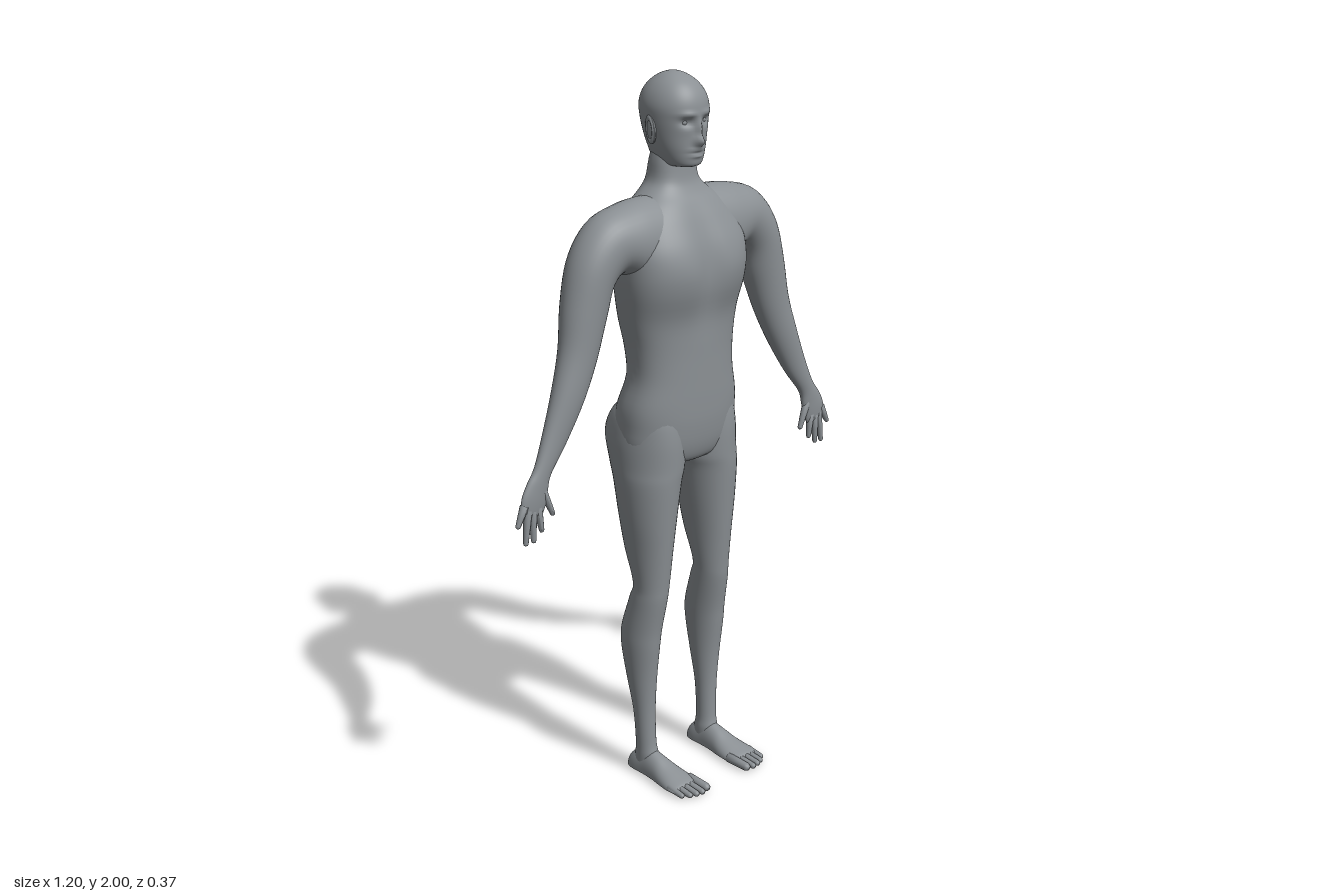
import * as THREE from 'three';

const skin = new THREE.MeshStandardMaterial({ color: 0x8b9094 });
skin.name = 'grey skin';

// Smooth interpolation of one column of a section table
function blend(rows, t) {
  const i = Math.min(Math.floor(t), rows.length - 2), f = t - i;
  const row = (k) => rows[Math.max(0, Math.min(rows.length - 1, k))];
  const [a, b, c, d] = [row(i - 1), row(i), row(i + 1), row(i + 2)];
  return b.map((v, k) => v + 0.5 * f * (c[k] - a[k] + f * (2 * a[k] - 5 * v + 4 * c[k] - d[k]
    + f * (3 * (v - c[k]) + d[k] - a[k]))));
}

// Closed skin through cross-sections; place(section, cos, sin) gives a point
function loft(rows, steps, sides, place, power = 2) {
  const pos = [], idx = [], rings = (rows.length - 1) * steps + 1;
  const round = (v) => Math.sign(v) * Math.pow(Math.abs(v), 2 / power);
  for (let r = 0; r < rings; r++) {
    const s = blend(rows, r / steps);
    for (let j = 0; j < sides; j++) {
      const a = (j / sides) * Math.PI * 2;
      pos.push(...place(s, round(Math.cos(a)), round(Math.sin(a))));
    }
  }
  for (let r = 0; r < rings - 1; r++) for (let j = 0; j < sides; j++) {
    const a = r * sides + j, b = r * sides + (j + 1) % sides;
    idx.push(a, b, b + sides, a, b + sides, a + sides);
  }
  // end caps
  for (const [start, flip] of [[0, true], [(rings - 1) * sides, false]]) {
    const c = [0, 0, 0], n = pos.length / 3;
    for (let j = 0; j < sides; j++) for (let k = 0; k < 3; k++) c[k] += pos[(start + j) * 3 + k] / sides;
    pos.push(...c);
    for (let j = 0; j < sides; j++) {
      const a = start + j, b = start + (j + 1) % sides;
      idx.push(...(flip ? [n, b, a] : [n, a, b]));
    }
  }
  // turn all faces outward
  const p = (i) => new THREE.Vector3().fromArray(pos, i * 3);
  let volume = 0;
  for (let i = 0; i < idx.length; i += 3) volume += p(idx[i]).dot(p(idx[i + 1]).cross(p(idx[i + 2])));
  if (volume < 0) idx.reverse();
  const g = new THREE.BufferGeometry();
  g.setAttribute('position', new THREE.Float32BufferAttribute(pos, 3));
  g.setIndex(idx);
  g.computeVertexNormals();
  return g;
}

function mirrored(geometry) {
  const g = geometry.clone().scale(-1, 1, 1);
  g.index.array.reverse();
  g.computeVertexNormals();
  return g;
}

// Tapered rounded digit between two points
function digit(from, to, r0, r1) {
  const a = new THREE.Vector3(...from), b = new THREE.Vector3(...to), len = a.distanceTo(b);
  const pts = [[0, 0], [r0, 0], [(r0 + r1) / 2, len * 0.5], [r1, len - r1],
    [r1 * 0.75, len - r1 * 0.35], [0, len]].map((q) => new THREE.Vector2(...q));
  const g = new THREE.LatheGeometry(pts, 12);
  g.applyQuaternion(new THREE.Quaternion().setFromUnitVectors(new THREE.Vector3(0, 1, 0), b.clone().sub(a).normalize()));
  return g.translate(a.x, a.y, a.z);
}

const bump = (x, y, cx, cy, wx, wy) => Math.exp(-(((x - cx) / wx) ** 2) - ((y - cy) / wy) ** 2);

export function createModel() {
  const model = new THREE.Group();
  const add = (name, g) => {
    const m = new THREE.Mesh(g, skin);
    m.name = name;
    model.add(m);
  };
  const addPair = (name, g) => {
    add('left' + name, g);
    add('right' + name, mirrored(g));
  };

  // Torso and neck: y, half width, front z, back z, chest groove, spine groove
  add('torso', loft([
    [0.945, 0.06, 0.03, -0.09, 0, 0], [0.96, 0.14, 0.055, -0.13, 0, 0.01],
    [1.0, 0.184, 0.07, -0.15, 0, 0.015], [1.06, 0.189, 0.078, -0.155, 0, 0.012],
    [1.12, 0.186, 0.08, -0.142, 0, 0.008], [1.2, 0.167, 0.08, -0.118, 0, 0.006],
    [1.28, 0.17, 0.08, -0.124, 0, 0.008], [1.36, 0.185, 0.085, -0.137, 0.004, 0.01],
    [1.44, 0.198, 0.108, -0.146, 0.014, 0.012], [1.5, 0.202, 0.114, -0.15, 0.02, 0.013],
    [1.56, 0.2, 0.1, -0.149, 0.016, 0.012], [1.62, 0.175, 0.07, -0.138, 0.008, 0.008],
    [1.66, 0.14, 0.045, -0.125, 0.004, 0.004], [1.69, 0.102, 0.022, -0.114, 0, 0],
    [1.72, 0.075, 0.009, -0.106, 0, 0], [1.77, 0.067, 0.003, -0.096, 0, 0], [1.8, 0.06, 0, -0.09, 0, 0],
  ], 4, 64, ([y, w, f, b, chest, spine], c, s) => {
    const x = w * c, groove = Math.exp(-((x / 0.045) ** 2));
    return [x, y, (f + b) / 2 + s * (f - b) / 2 - groove * (s > 0 ? chest * s : spine * s)];
  }, 2.35));

  // Head with sculpted face: y, half width, front z, back z
  add('head', loft([
    [1.757, 0.025, 0.03, -0.05], [1.762, 0.046, 0.042, -0.08], [1.775, 0.058, 0.047, -0.1],
    [1.805, 0.07, 0.049, -0.11], [1.84, 0.079, 0.05, -0.121], [1.88, 0.085, 0.054, -0.131],
    [1.915, 0.086, 0.055, -0.135], [1.945, 0.077, 0.046, -0.128], [1.97, 0.06, 0.027, -0.11],
    [1.988, 0.038, 0.0, -0.085], [1.997, 0.018, -0.022, -0.062], [2.0, 0.001, -0.039, -0.041],
  ], 6, 96, ([y, w, f, b], c, s) => {
    const x = w * c;
    let z = (f + b) / 2 + s * (f - b) / 2;
    if (s > 0) {
      z -= 0.012 * bump(Math.abs(x), y, 0.033, 1.877, 0.018, 0.011);
      z += 0.006 * bump(Math.abs(x), y, 0.033, 1.898, 0.025, 0.007);
      z += 0.012 * bump(x, y, 0, 1.858, 0.009, 0.025) + 0.022 * bump(x, y, 0, 1.826, 0.013, 0.015);
      z += 0.007 * bump(x, y, 0, 1.803, 0.022, 0.005) + 0.007 * bump(x, y, 0, 1.789, 0.02, 0.005);
      z -= 0.006 * bump(x, y, 0, 1.796, 0.025, 0.003);
    }
    return [x, y, z];
  }, 2.1));
  addPair('Eye', new THREE.SphereGeometry(0.011, 16, 12).translate(0.033, 1.877, 0.028));
  addPair('Ear', new THREE.SphereGeometry(1, 16, 12).scale(0.009, 0.036, 0.018)
    .rotateX(-0.15).rotateY(0.2).translate(0.084, 1.855, -0.037));
  addPair('EarRim', new THREE.TorusGeometry(0.015, 0.004, 8, 24).scale(1, 2, 1)
    .rotateY(Math.PI / 2 + 0.2).rotateX(-0.15).translate(0.089, 1.857, -0.037));

  // Arm and palm: centre x, y, z, downward angle, half thickness, half depth
  addPair('Arm', loft([
    [0.07, 1.56, -0.036, 0, 0.125, 0.095], [0.12, 1.565, -0.037, 0.03, 0.122, 0.094],
    [0.18, 1.573, -0.037, 0.12, 0.107, 0.09], [0.25, 1.573, -0.036, 0.48, 0.084, 0.077],
    [0.304, 1.517, -0.035, 0.95, 0.071, 0.069], [0.335, 1.42, -0.031, 1.2, 0.067, 0.059],
    [0.365, 1.31, -0.024, 1.15, 0.058, 0.047], [0.406, 1.21, -0.018, 1.1, 0.05, 0.038],
    [0.457, 1.11, -0.014, 1.05, 0.039, 0.026], [0.502, 1.035, -0.01, 1.03, 0.028, 0.018],
    [0.522, 0.995, -0.009, 1.1, 0.036, 0.016], [0.536, 0.96, -0.008, 1.2, 0.042, 0.014],
    [0.545, 0.93, -0.007, 1.25, 0.037, 0.01], [0.547, 0.924, -0.007, 1.25, 0.03, 0.006],
  ], 5, 36, ([x, y, z, t, a, b], c, s) => [x + a * c * Math.sin(t), y + a * c * Math.cos(t), z + b * s]));

  // Fingers and thumb: base x, y then tip x, y
  [[0.569, 0.955, 0.597, 0.9], [0.558, 0.94, 0.571, 0.845], [0.543, 0.935, 0.544, 0.846],
    [0.525, 0.94, 0.515, 0.868], [0.509, 0.985, 0.475, 0.905]].forEach(([x0, y0, x1, y1], i) => {
    addPair((i === 4 ? 'Thumb' : 'Finger' + (i + 1)), digit([x0, y0, -0.007], [x1, y1, -0.004], 0.012, 0.007));
  });

  // Leg: y, centre x, half width, front z, back z
  addPair('Leg', loft([
    [1.15, 0.09, 0.05, 0.03, -0.07], [1.1, 0.093, 0.085, 0.06, -0.146],
    [1.03, 0.098, 0.093, 0.07, -0.18], [0.95, 0.1, 0.093, 0.07, -0.16],
    [0.9, 0.108, 0.085, 0.068, -0.14], [0.8, 0.113, 0.073, 0.06, -0.12],
    [0.7, 0.115, 0.06, 0.051, -0.1], [0.6, 0.117, 0.049, 0.041, -0.067],
    [0.55, 0.12, 0.049, 0.036, -0.08], [0.46, 0.125, 0.05, 0.02, -0.108],
    [0.4, 0.127, 0.048, 0.013, -0.11], [0.3, 0.126, 0.04, 0.001, -0.091],
    [0.2, 0.124, 0.031, -0.005, -0.071], [0.1, 0.122, 0.028, -0.003, -0.065],
    [0.06, 0.12, 0.03, 0.004, -0.07], [0.025, 0.12, 0.03, 0.0, -0.075],
  ], 5, 40, ([y, x, w, f, b], c, s) => [x + w * c, y, (f + b) / 2 + s * (f - b) / 2]));

  // Foot with flat sole: z, centre x, half width, height
  addPair('Foot', loft([
    [-0.093, 0.12, 0.012, 0.025], [-0.086, 0.12, 0.026, 0.045], [-0.06, 0.12, 0.033, 0.065],
    [-0.02, 0.12, 0.034, 0.078], [0.02, 0.12, 0.038, 0.068], [0.06, 0.12, 0.046, 0.05],
    [0.1, 0.121, 0.051, 0.036], [0.128, 0.121, 0.05, 0.026], [0.136, 0.121, 0.046, 0.016],
  ], 5, 36, ([z, x, w, h], c, s) => [x + w * c, s > 0 ? 0.012 + (h - 0.012) * s : 0.012 + 0.012 * s, z]));

  // Toes, largest on the inner side: x, tip z, radius
  [[0.082, 0.182, 0.012], [0.104, 0.185, 0.009], [0.124, 0.182, 0.009],
    [0.143, 0.175, 0.0085], [0.161, 0.16, 0.008]].forEach(([x, tip, r], i) => {
    addPair('Toe' + (i + 1), digit([x, 0.016, 0.1], [x, r + 0.001, tip], r + 0.002, r));
  });

  return model;
}
